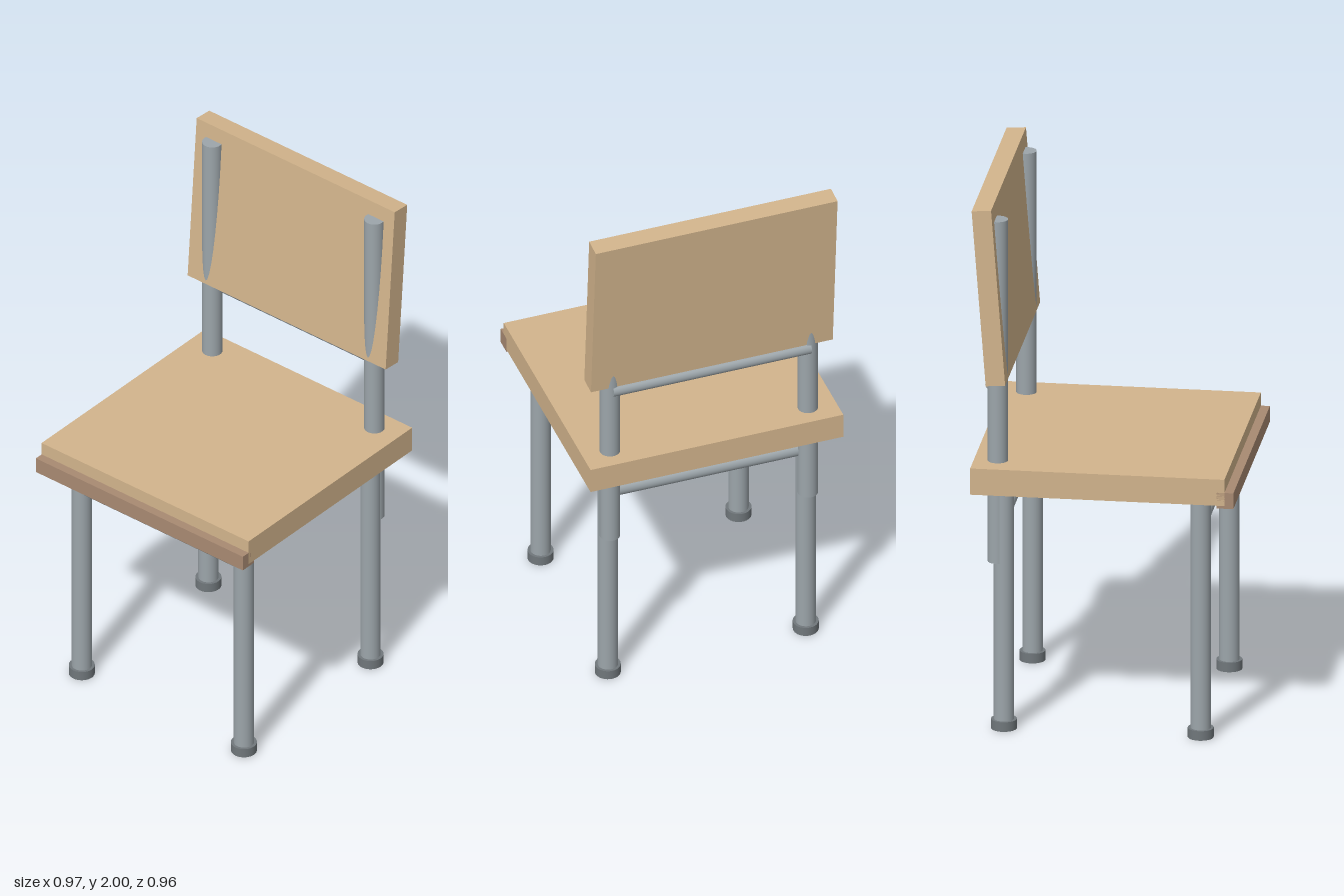
import * as THREE from 'three';

export function createModel() {
  const chair = new THREE.Group();
  chair.name = 'chair';

  const paint = (color) => new THREE.MeshStandardMaterial({ color });
  const wood = paint(0xd2b48c);
  const darkWood = paint(0xa88a72);
  const metal = paint(0x9ca5aa);
  const footMetal = paint(0x70777b);

  const add = (name, geometry, material, x, y, z) => {
    const mesh = new THREE.Mesh(geometry, material);
    mesh.name = name;
    mesh.position.set(x, y, z);
    chair.add(mesh);
    return mesh;
  };

  // Upright tube between two heights
  const upright = (name, radius, y0, y1, x, z, material = metal) =>
    add(name, new THREE.CylinderGeometry(radius, radius, y1 - y0, 32), material, x, (y0 + y1) / 2, z);

  // Crossbar running left to right
  const crossbar = (name, radius, length, y, z) => {
    const bar = add(name, new THREE.CylinderGeometry(radius, radius, length, 24), metal, 0, y, z);
    bar.rotation.z = Math.PI / 2;
  };

  // Seat board and the lip under its front edge
  add('seat', new THREE.BoxGeometry(0.968, 0.1, 0.925), wood, 0, 0.97, -0.017);
  add('seatFrontLip', new THREE.BoxGeometry(0.968, 0.06, 0.062), darkWood, 0, 0.94, 0.447);

  // Backrest leaning slightly backwards
  const backrest = add('backrest', new THREE.BoxGeometry(0.926, 0.667, 0.071), wood, 0, 1.664, -0.416);
  backrest.rotation.x = -0.077;

  // Legs, feet and back posts on both sides
  const frontZ = 0.345, backZ = -0.371;
  for (const [side, x] of [['left', 0.379], ['right', -0.379]]) {
    for (const [end, z] of [['Front', frontZ], ['Back', backZ]]) {
      upright(`${side}${end}Leg`, 0.037, 0.01, 0.906, x, z);
      upright(`${side}${end}Foot`, 0.047, 0, 0.036, x, z, footMetal);
    }
    upright(`${side}BackPost`, 0.037, 0.636, 1.94, x, -0.393);
  }

  // Stretchers under the seat and the bar below the backrest
  crossbar('frontStretcher', 0.027, 0.74, 0.824, frontZ);
  crossbar('backStretcher', 0.027, 0.74, 0.824, backZ);
  crossbar('backrestBar', 0.024, 0.758, 1.308, -0.415);

  return chair;
}
